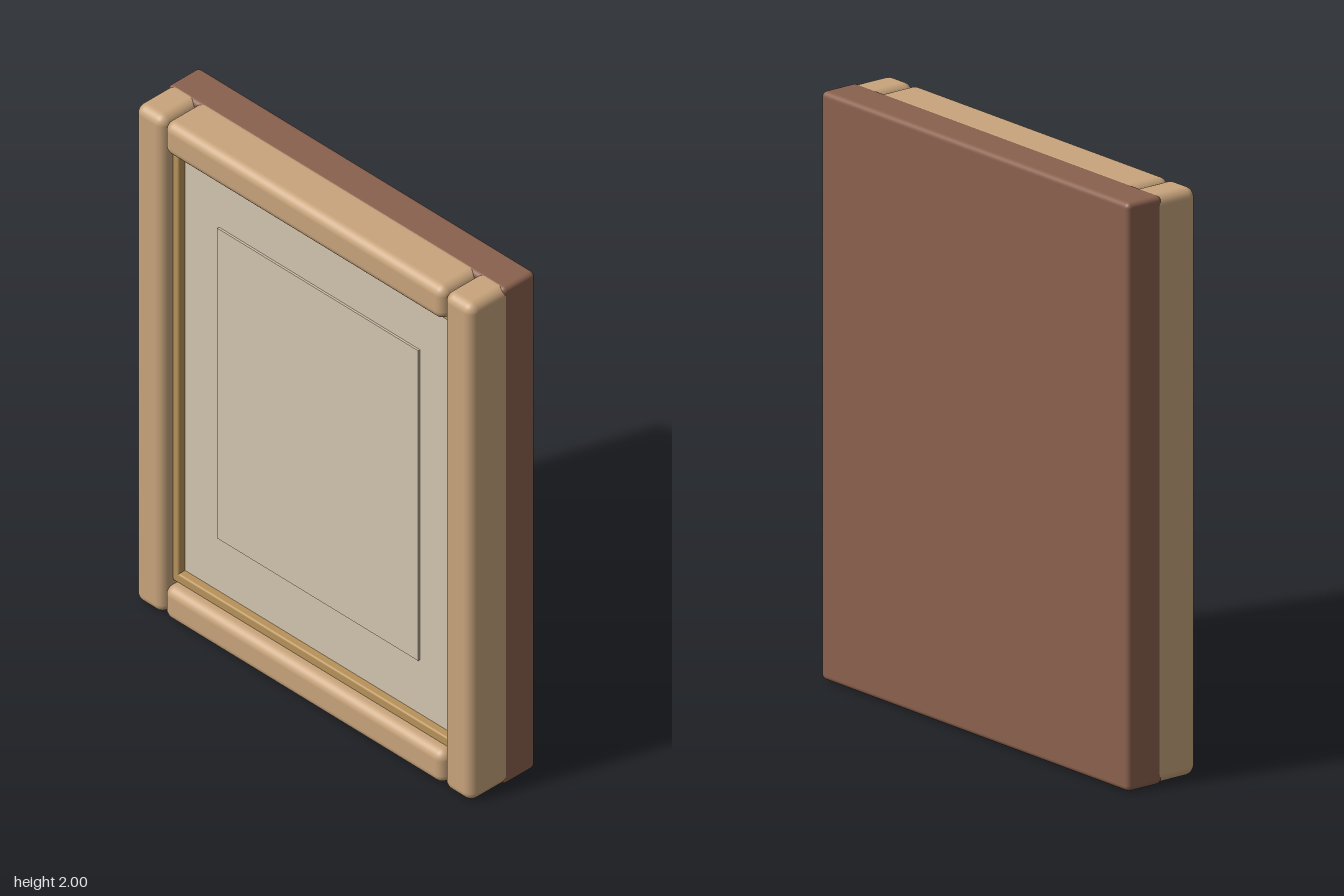
import * as THREE from 'three';
import { RoundedBoxGeometry } from 'three/addons/geometries/RoundedBoxGeometry.js';

export function createModel() {
  const group = new THREE.Group();
  const material = (name, color) => {
    const m = new THREE.MeshStandardMaterial({ color });
    m.name = name;
    return m;
  };
  const wood = material('light wood', 0xc8a47c);
  const brown = material('dark brown', 0x8a614e);
  const gold = material('gold trim', 0xb8925a);
  const canvas = material('beige canvas', 0xd3c5af);

  // Rounded box given by its limits on each axis
  const block = (name, mat, [x0, x1], [y0, y1], [z0, z1], radius, segments = 4) => {
    const geo = radius
      ? new RoundedBoxGeometry(x1 - x0, y1 - y0, z1 - z0, segments, radius)
      : new THREE.BoxGeometry(x1 - x0, y1 - y0, z1 - z0);
    const mesh = new THREE.Mesh(geo, mat);
    mesh.name = name;
    mesh.position.set((x0 + x1) / 2, (y0 + y1) / 2, (z0 + z1) / 2);
    group.add(mesh);
  };

  // Backing slab
  block('backing', brown, [-0.78, 0.78], [0, 2], [-0.147, 0], 0.018);

  // Outer frame: two full-height posts with rails between them
  const depth = [-0.04, 0.147];
  block('leftPost', wood, [0.648, 0.78], [0, 2], depth, 0.035);
  block('rightPost', wood, [-0.78, -0.648], [0, 2], depth, 0.035);
  block('topRail', wood, [-0.648, 0.648], [1.87, 2], depth, 0.035);
  block('bottomRail', wood, [-0.648, 0.648], [0, 0.13], depth, 0.035);

  // Slim inner trim, set back from the frame
  const trimDepth = [0, 0.1];
  block('leftTrim', gold, [0.622, 0.655], [0.13, 1.87], trimDepth, 0.007, 2);
  block('rightTrim', gold, [-0.655, -0.622], [0.13, 1.87], trimDepth, 0.007, 2);
  block('topTrim', gold, [-0.65, 0.65], [1.845, 1.877], trimDepth, 0.007, 2);
  block('bottomTrim', gold, [-0.65, 0.65], [0.125, 0.163], trimDepth, 0.007, 2);

  // Recessed panel with a slightly raised inner sheet
  block('panel', canvas, [-0.63, 0.63], [0.15, 1.86], [-0.01, 0.07]);
  block('innerSheet', canvas, [-0.465, 0.465], [0.38, 1.63], [0.07, 0.078]);

  return group;
}
